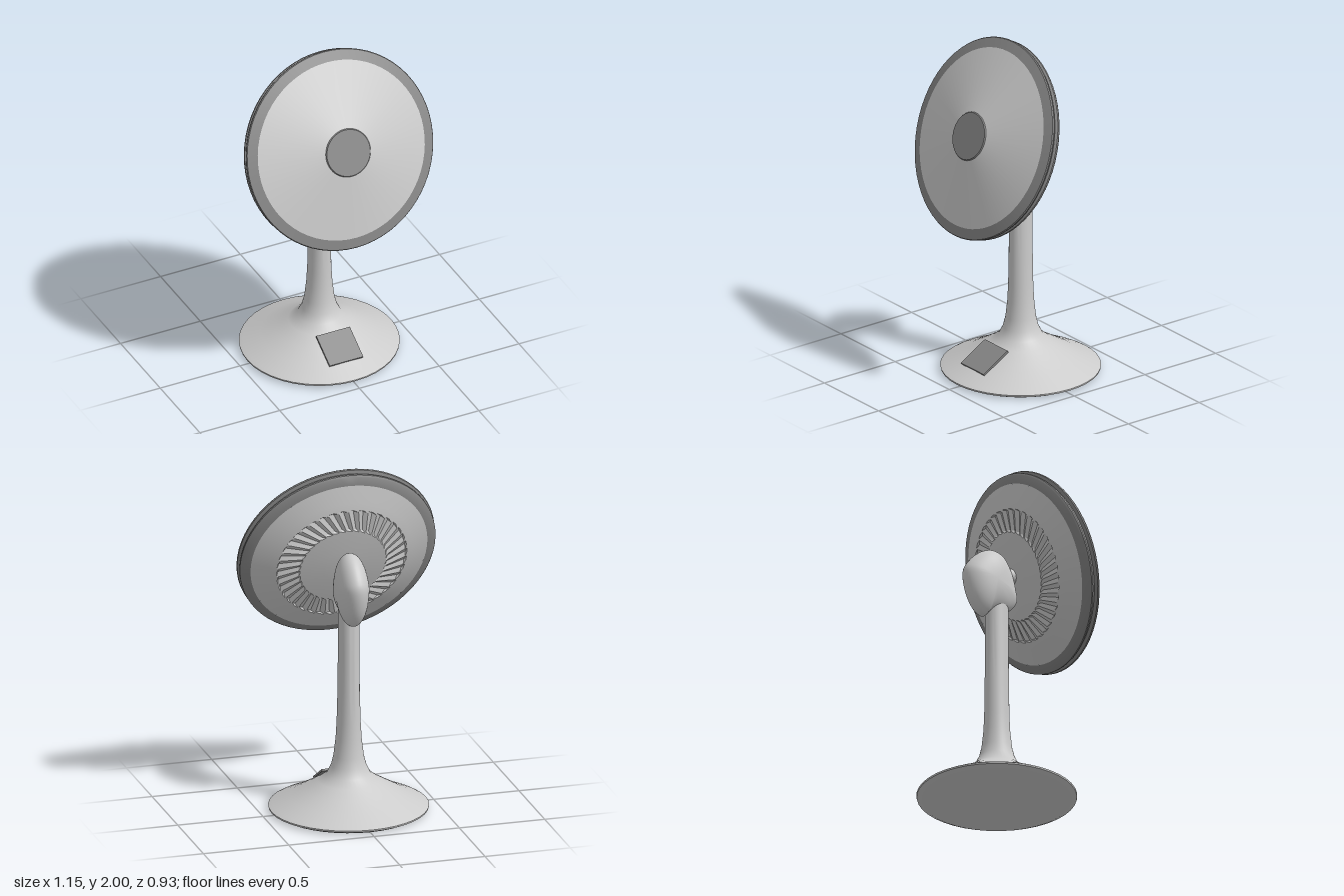
import * as THREE from 'three';
import { toCreasedNormals } from 'three/addons/utils/BufferGeometryUtils.js';
import { ParametricGeometry } from 'three/addons/geometries/ParametricGeometry.js';

const light = new THREE.MeshStandardMaterial({ color: 0xcccccc });
const dark = new THREE.MeshStandardMaterial({ color: 0x888888 });

function part(name, geometry, material, parent) {
  const mesh = new THREE.Mesh(geometry, material);
  mesh.name = name;
  parent.add(mesh);
  return mesh;
}

const lathe = (profile, segments) =>
  new THREE.LatheGeometry(profile.map(([r, y]) => new THREE.Vector2(r, y)), segments);

// Edit every vertex with a rule, then smooth all but the sharp edges
function shape(geometry, rule, crease = 0.6) {
  const pos = geometry.attributes.position;
  const p = new THREE.Vector3();
  if (rule) {
    for (let i = 0; i < pos.count; i++) {
      rule(p.fromBufferAttribute(pos, i), i);
      pos.setXYZ(i, p.x, p.y, p.z);
    }
  }
  return toCreasedNormals(geometry, crease);
}

// Flared foot running up into a slightly oval stalk
function buildStand(group) {
  const flare = [[0.125, 0.21], [0.1, 0.26], [0.085, 0.32], [0.073, 0.42], [0.067, 0.52],
    [0.062, 0.7], [0.06, 0.9], [0.059, 1.2]];
  const foot = [[0, 0], [0.42, 0], [0.45, 0.014], [0.452, 0.024], [0.43, 0.036],
    [0.334, 0.08], [0.255, 0.125], [0.175, 0.172]];
  const geometry = shape(lathe([...foot, ...flare], 40), (p) => {
    p.z *= 1 + 0.15 * THREE.MathUtils.smoothstep(p.y, 0.2, 0.8);
  });
  part('stand', geometry, light, group).position.z = -0.005;

  // Flat control panel lying on the front slope of the foot
  const panel = part('controlPanel', new THREE.BoxGeometry(0.21, 0.197, 0.012), dark, group);
  panel.position.set(0, 0.13, 0.25);
  panel.rotation.x = -1.04;
}

// Rounded motor housing: one side outline shrunk towards both cheeks
function buildMotor(group) {
  const outline = new THREE.CatmullRomCurve3([
    [0.053, 1.167], [0.117, 1.236], [0.111, 1.3], [0.08, 1.411], [0.027, 1.5],
    [-0.042, 1.528], [-0.122, 1.5], [-0.212, 1.4], [-0.223, 1.342], [-0.19, 1.21],
    [-0.133, 1.13], [-0.09, 1.114], [-0.064, 1.14],
  ].map(([z, y]) => new THREE.Vector3(0, y, z)), true);
  const centre = new THREE.Vector3(0, 1.326, -0.053);
  const geometry = new ParametricGeometry((u, v, target) => {
    const s = Math.pow(Math.abs(Math.sin(Math.PI * v)), 0.9);
    target.copy(outline.getPoint(u)).sub(centre).multiplyScalar(s).add(centre);
    target.x = 0.092 * Math.cos(Math.PI * v);
  }, 52, 24);
  part('motorHousing', shape(geometry, null, 1.2), light, group);
}

// Tilted fan head, turned about its own axis
function buildHead(group) {
  const head = new THREE.Group();
  head.name = 'fanHead';
  head.position.set(0, 1.4475, 0.2025);
  head.rotation.x = 1.192;
  group.add(head);

  // Rear bowl with a ring of swirled louvres
  const bowl = [[0, -0.12], [0.12, -0.118], [0.25, -0.105], [0.26, -0.104],
    [0.37, -0.081], [0.38, -0.078], [0.42, -0.062], [0.515, -0.02]];
  const bowlGeometry = shape(lathe(bowl, 80), (p, i) => {
    const ring = i % bowl.length;
    const odd = Math.floor(i / bowl.length) % 2;
    if (odd && (ring === 3 || ring === 4)) p.y += 0.012;
    if (ring < 4) p.applyAxisAngle(THREE.Object3D.DEFAULT_UP, 0.12);
  }, 0.2);
  part('rearBowl', bowlGeometry, light, head);

  // Double rim with a groove between its two lips
  const rim = [[0.515, -0.02], [0.562, -0.004], [0.57, 0.006], [0.57, 0.016], [0.557, 0.026],
    [0.557, 0.034], [0.575, 0.044], [0.577, 0.052], [0.573, 0.0585], [0.515, 0.074]];
  part('rim', shape(lathe(rim, 64)), dark, head);

  // Conical front grille and centre cap
  part('frontGrille', shape(lathe([[0.515, 0.074], [0.137, 0.168], [0, 0.168]], 64), null, 0.2),
    light, head);
  part('centreCap', shape(lathe([[0.14, 0.155], [0.14, 0.166], [0.134, 0.174], [0, 0.174]], 40)),
    dark, head);

  // Short hub joining the bowl to the motor
  part('hub', new THREE.CylinderGeometry(0.045, 0.045, 0.1, 24), light, head).position.y = -0.155;
}

export function createModel() {
  const group = new THREE.Group();
  group.name = 'deskFan';
  buildStand(group);
  buildMotor(group);
  buildHead(group);
  return group;
}
